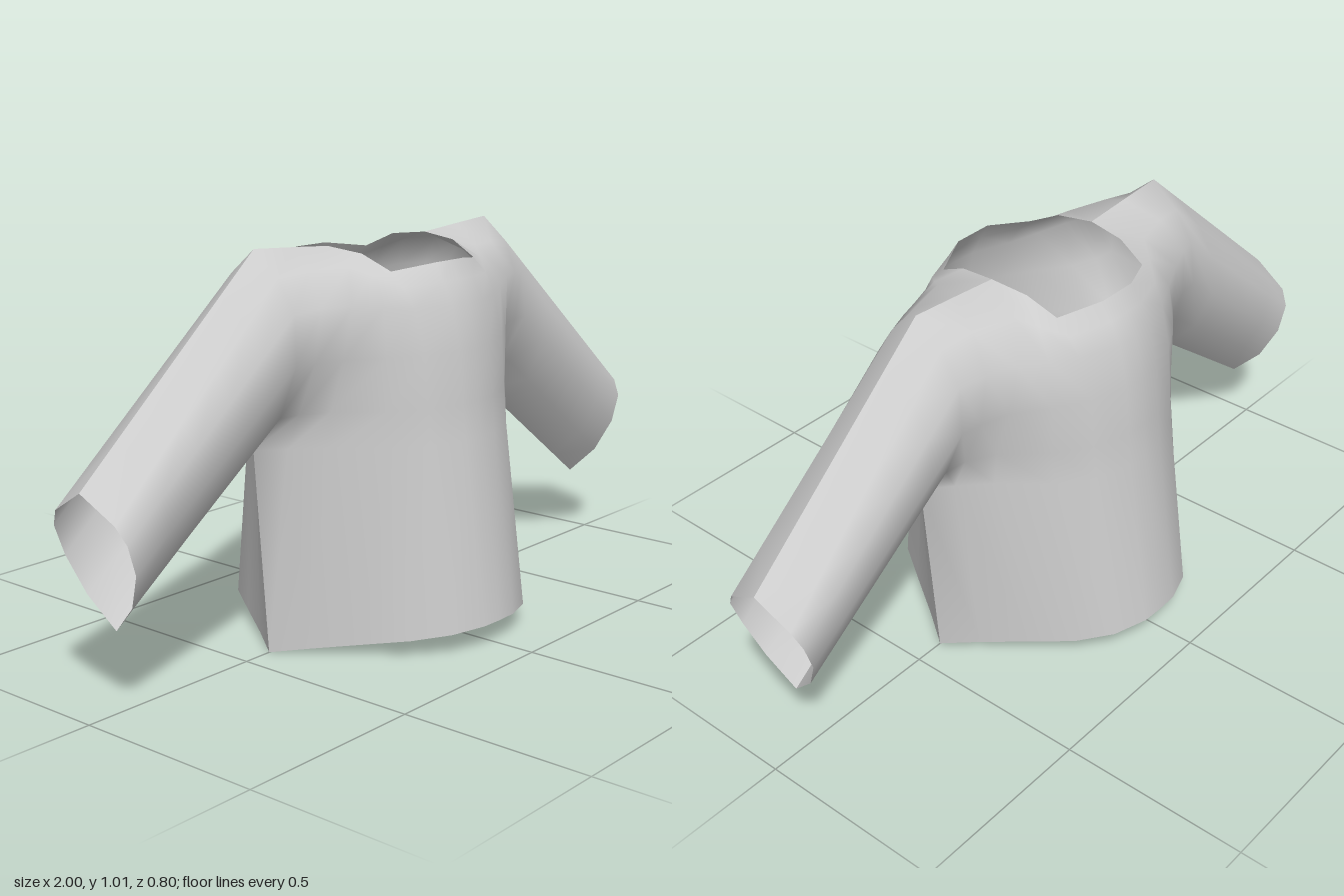
import * as THREE from 'three';
import { mergeVertices } from 'three/addons/utils/BufferGeometryUtils.js';

// Columns of the right-hand torso half, centre to side; each runs hem -> shoulder as x, y, z
const TORSO = [
  [0, .065, .40, 0, .53, .333, 0, .62, .324, 0, .75, .313, 0, .86, .29, 0, .915, .26, 0, .96, .23],
  [.06, .065, .398, .06, .53, .331, .06, .62, .322, .06, .75, .311, .06, .86, .287, .06, .915, .258, .055, .96, .23],
  [.15, .06, .366, .155, .53, .298, .155, .62, .289, .155, .75, .279, .16, .86, .25, .165, .91, .22, .165, .945, .18],
  [.228, .05, .297, .24, .53, .234, .24, .62, .23, .24, .75, .23, .235, .87, .215, .215, .938, .165, .18, .983, .10],
  [.292, .035, .197, .33, .53, .122, .33, .62, .13, .325, .75, .167, .31, .88, .182, .25, .962, .12, .19, .994, 0],
  [.36, .018, .088, .40, .53, .054, .40, .62, .092, .40, .75, .145, .385, .88, .152, .36, .96, .09, .32, 1.004, 0],
  [.42, .004, 0, .463, .53, 0, .46, .62, .086, .457, .75, .138, .45, .87, .128, .45, .95, .075, .45, 1.013, 0],
];
// Half of the cuff opening, underside -> top
const CUFF = [.91, .20, 0, .927, .275, .075, .95, .365, .118, .975, .44, .122, .988, .482, .098, 1, .54, 0];
const SLEEVE_STEPS = 5;

const toPoints = (a) =>
  Array.from({ length: a.length / 3 }, (_, i) => new THREE.Vector3(a[3 * i], a[3 * i + 1], a[3 * i + 2]));

const mirrorX = (cols) =>
  cols.map((c) => c.map((p) => new THREE.Vector3(-p.x, p.y, p.z))).reverse();

// Adds a grid of quads to the vertex and index lists; columns run left to right
function addGrid(cols, positions, indices) {
  const base = positions.length / 3;
  const rows = cols[0].length;
  cols.forEach((col) => col.forEach((p) => positions.push(p.x, p.y, p.z)));
  for (let j = 0; j < cols.length - 1; j++) {
    for (let i = 0; i < rows - 1; i++) {
      const a = base + j * rows + i;
      const b = a + rows;
      indices.push(a, b, b + 1, a, b + 1, a + 1);
    }
  }
}

// One half of the garment: side = 1 for the front, -1 for the back
function panelGeometry(side) {
  const positions = [];
  const indices = [];

  // Body
  const half = TORSO.map(toPoints);
  addGrid([...mirrorX(half.slice(1)), ...half], positions, indices);

  // Sleeves, lofted from the armhole to the cuff
  const armhole = half[half.length - 1].slice(1);
  const cuff = toPoints(CUFF);
  const sleeve = Array.from({ length: SLEEVE_STEPS + 1 }, (_, k) =>
    armhole.map((p, i) => p.clone().lerp(cuff[i], k / SLEEVE_STEPS)));
  addGrid(sleeve, positions, indices);
  addGrid(mirrorX(sleeve), positions, indices);

  // The back is the front flipped in z, with its faces turned round
  if (side < 0) {
    for (let i = 2; i < positions.length; i += 3) positions[i] *= -1;
    indices.reverse();
  }
  const geometry = new THREE.BufferGeometry();
  geometry.setAttribute('position', new THREE.Float32BufferAttribute(positions, 3));
  geometry.setIndex(indices);

  // Weld so the sleeves shade smoothly into the body; the seams stay sharp
  const welded = mergeVertices(geometry, 1e-4);
  welded.computeVertexNormals();
  return welded;
}

export function createModel() {
  const fabric = new THREE.MeshStandardMaterial({ color: 0xcccccc, side: THREE.DoubleSide });
  fabric.name = 'greyFabric';

  const shirt = new THREE.Group();
  shirt.name = 'shirt';
  for (const [name, side] of [['frontPanel', 1], ['backPanel', -1]]) {
    const panel = new THREE.Mesh(panelGeometry(side), fabric);
    panel.name = name;
    shirt.add(panel);
  }
  return shirt;
}
